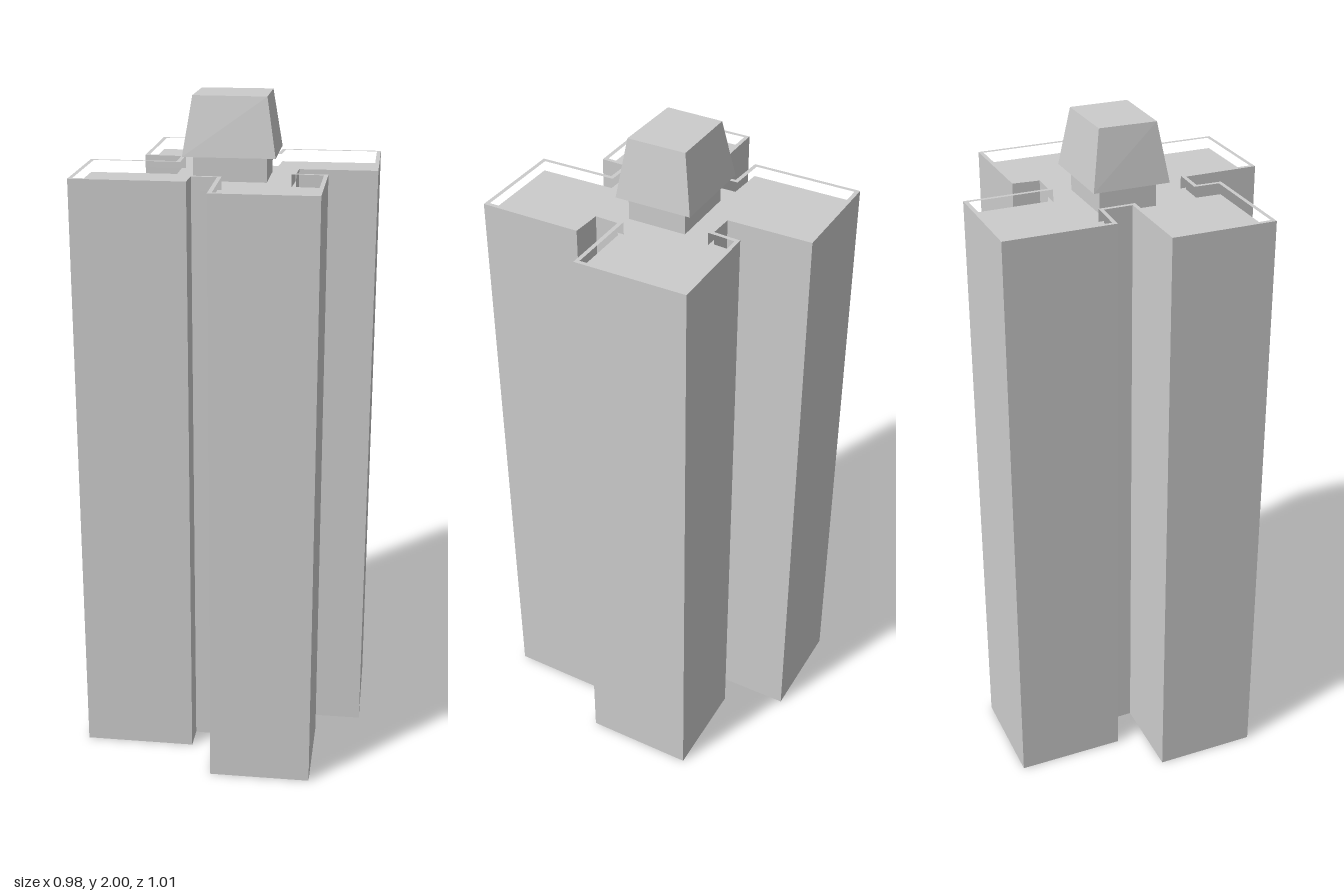
import * as THREE from 'three';
import { ConvexGeometry } from 'three/addons/geometries/ConvexGeometry.js';

const ROOF = 1.757, PARAPET_TOP = 1.795, CAP_BASE = 1.83, CAP_TOP = 2;

// Plan points as [x, z], running round the four wings and the notches between them
const PLAN = [
  [0.14, -0.505], [0.357, -0.27], [0.175, -0.1], [0.222, -0.045], [0.285, -0.095],
  [0.49, 0.125], [0.248, 0.35], [0.095, 0.185], [0.042, 0.23], [0.1, 0.3],
  [-0.12, 0.502], [-0.325, 0.28], [-0.162, 0.126], [-0.21, 0.07], [-0.267, 0.12],
  [-0.492, -0.125], [-0.267, -0.332], [-0.092, -0.142], [-0.03, -0.2], [-0.1, -0.285],
];
const CAP_WIDE = [[0.005, -0.185], [0.187, 0.012], [0.02, 0.167], [-0.162, -0.03]];
const CAP_NARROW = [[0.005, -0.142], [0.148, 0.012], [0.02, 0.13], [-0.122, -0.03]];

const toVectors = (plan) => plan.map(([x, z]) => new THREE.Vector2(x, -z));

// Move every edge of a clockwise outline inward by the same distance
function inset(points, distance) {
  const n = points.length;
  const inward = (a, b) => {
    const d = b.clone().sub(a).normalize();
    return new THREE.Vector2(d.y, -d.x);
  };
  return points.map((p, i) => {
    const a = inward(points[(i + n - 1) % n], p);
    const b = inward(p, points[(i + 1) % n]);
    return a.clone().add(b).multiplyScalar(distance / (1 + a.dot(b))).add(p);
  });
}

// Upright prism from a plan, with an optional hole
function prism(outline, bottom, top, hole) {
  const shape = new THREE.Shape(outline);
  if (hole) shape.holes.push(new THREE.Path(hole));
  const geometry = new THREE.ExtrudeGeometry(shape, { depth: top - bottom, bevelEnabled: false });
  return geometry.rotateX(-Math.PI / 2).translate(0, bottom, 0);
}

export function createModel() {
  const group = new THREE.Group();
  const material = new THREE.MeshStandardMaterial({ color: 0xcccccc, flatShading: true });
  const add = (name, geometry) => {
    const mesh = new THREE.Mesh(geometry, material);
    mesh.name = name;
    group.add(mesh);
  };
  const outline = toVectors(PLAN);

  // Four-winged tower and the low wall round its roof
  add('tower', prism(outline, 0, ROOF));
  add('parapet', prism(outline, ROOF, PARAPET_TOP, inset(outline, 0.012)));

  // Rooftop neck carrying a tapered crown
  add('crownNeck', prism(toVectors(CAP_NARROW), ROOF, CAP_BASE));
  const level = (plan, y) => plan.map(([x, z]) => new THREE.Vector3(x, y, z));
  add('crown', new ConvexGeometry([...level(CAP_WIDE, CAP_BASE), ...level(CAP_NARROW, CAP_TOP)]));

  return group;
}
